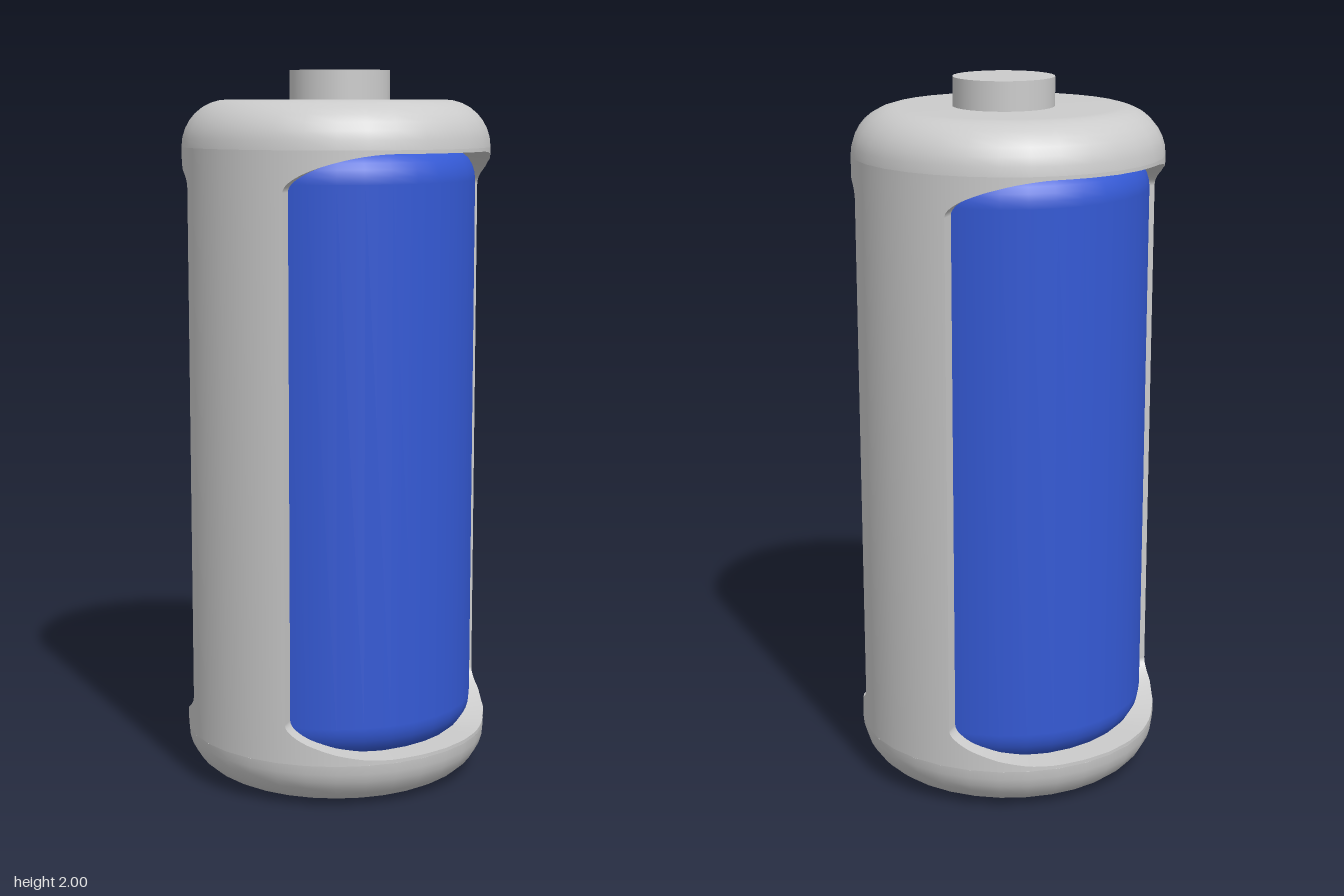
import * as THREE from 'three';
import { ParametricGeometry } from 'three/addons/geometries/ParametricGeometry.js';

const SIDES = 32, R = 0.432, INNER = 0.28;
const TOP = 1.92, ROUND = 0.13;          // shell height and edge rounding
const EDGE = THREE.MathUtils.degToRad(64); // half angle of each window
const SILL = 0.14, LINTEL = 1.78;

const grey = new THREE.MeshStandardMaterial({ color: 0xcccccc, side: THREE.DoubleSide });
const blue = new THREE.MeshStandardMaterial({ color: 0x3459d4 });

// How far the window outline curves in from its straight edges at an angle
function cornerDrop(a) {
  const x = R * Math.sin(Math.abs(a)), x0 = 0.17, x1 = R * Math.sin(EDGE);
  const u = THREE.MathUtils.clamp((x - x0) / (x1 - x0), 0, 1);
  return 0.1 * (1 - Math.sqrt(1 - u * u));
}
const sillY = (a) => SILL + cornerDrop(a);
const lintelY = (a) => LINTEL - cornerDrop(a);
// Window angle, sampled more densely towards the corners
const windowAngle = (u) => EDGE * Math.sin(Math.PI * (u - 0.5));

// Surface patch given as [angle, radius, height], fitted to the 32-sided shell
function patch(fn, nu, nv) {
  const geo = new ParametricGeometry((u, v, p) => {
    const [a, r, y] = fn(u, v);
    p.set(r * Math.sin(a), y, r * Math.cos(a));
  }, nu, nv);
  const pos = geo.attributes.position, step = (2 * Math.PI) / SIDES;
  for (let i = 0; i < pos.count; i++) {
    const a = Math.atan2(pos.getX(i), pos.getZ(i)) + 2 * Math.PI;
    const k = Math.cos(step / 2) / Math.cos((a % step) - step / 2);
    pos.setX(i, pos.getX(i) * k);
    pos.setZ(i, pos.getZ(i) * k);
  }
  return geo;
}

// Quarter-round profile points
function arc(cx, cy, r, from, to, n = 8) {
  return Array.from({ length: n + 1 }, (_, i) => {
    const t = from + ((to - from) * i) / n;
    return new THREE.Vector2(cx + r * Math.cos(t), cy + r * Math.sin(t));
  });
}

export function createModel() {
  const model = new THREE.Group();
  const add = (parent, name, geo, mat) => {
    const mesh = new THREE.Mesh(geo, mat);
    mesh.name = name;
    parent.add(mesh);
    return mesh;
  };
  const H = Math.PI / 2;

  // Rounded ends of the shell
  add(model, 'bottomEnd', new THREE.LatheGeometry(
    [new THREE.Vector2(0, 0), ...arc(R - ROUND, ROUND, ROUND, -H, 0)], SIDES), grey);
  add(model, 'topEnd', new THREE.LatheGeometry(
    [...arc(R - ROUND, TOP - ROUND, ROUND, 0, H), new THREE.Vector2(0, TOP)], SIDES), grey);

  // Half shell with one window, repeated for front and back
  const lerp = THREE.MathUtils.lerp;
  for (const [name, turn] of [['frontShell', 0], ['backShell', Math.PI]]) {
    const half = new THREE.Group();
    half.name = name;
    half.rotation.y = turn;
    model.add(half);

    // Bands below and above the window
    add(half, 'lowerBand', patch((u, v) => {
      const a = windowAngle(u);
      return [a, R, lerp(ROUND, sillY(a), v)];
    }, 48, 2), grey);
    add(half, 'upperBand', patch((u, v) => {
      const a = windowAngle(u);
      return [a, R, lerp(lintelY(a), TOP - ROUND, v)];
    }, 48, 2), grey);

    // Thickness of the window opening
    add(half, 'windowSill', patch((u, v) => {
      const a = windowAngle(u);
      return [a, lerp(R, INNER, v), sillY(a)];
    }, 48, 1), grey);
    add(half, 'windowLintel', patch((u, v) => {
      const a = windowAngle(u);
      return [a, lerp(INNER, R, v), lintelY(a)];
    }, 48, 1), grey);
    for (const s of [-1, 1]) {
      add(half, s > 0 ? 'leftJamb' : 'rightJamb', patch((u, v) =>
        [s * EDGE, s > 0 ? lerp(INNER, R, u) : lerp(R, INNER, u),
          lerp(sillY(EDGE), lintelY(EDGE), v)], 1, 1), grey);
    }

    // Side pillar between this window and the next
    add(half, 'sidePillar', patch((u, v) =>
      [lerp(EDGE, Math.PI - EDGE, u), R, lerp(ROUND, TOP - ROUND, v)], 16, 1), grey);
  }

  // Rounded inner cell
  const cr = 0.39, cb = 0.1, y0 = 0.12, y1 = 1.8;
  add(model, 'innerCell', new THREE.LatheGeometry([
    new THREE.Vector2(0, y0),
    ...arc(cr - cb, y0 + cb, cb, -H, 0),
    ...arc(cr - cb, y1 - cb, cb, 0, H),
    new THREE.Vector2(0, y1),
  ], SIDES), blue);

  // Terminal on top, slightly off centre
  const terminal = add(model, 'terminal', new THREE.CylinderGeometry(0.14, 0.14, 0.1, SIDES), grey);
  terminal.position.set(0.015, 1.95, 0);

  return model;
}
